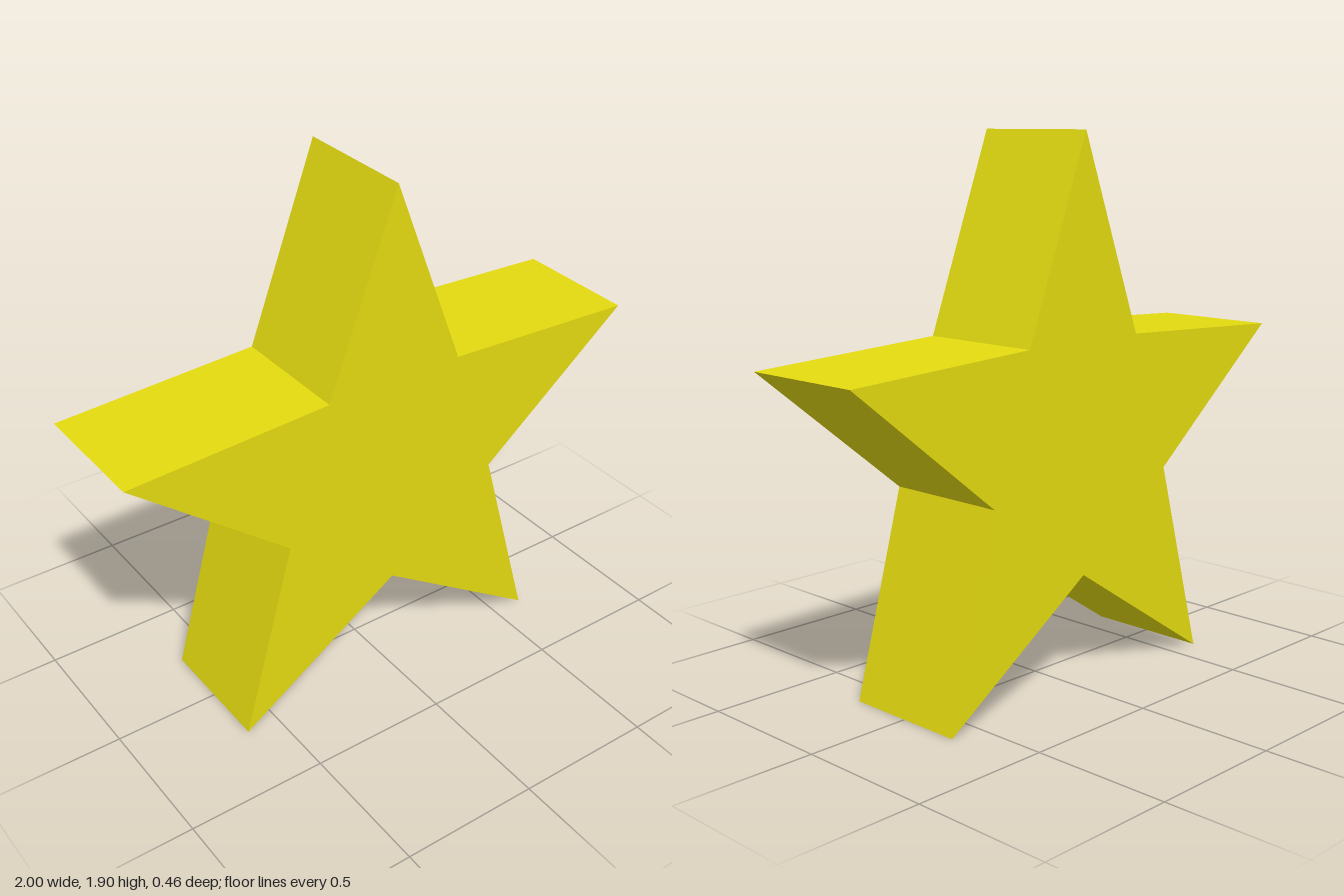
import * as THREE from 'three';

export function createModel() {
  const group = new THREE.Group();
  group.name = 'starModel';
  const yellow = new THREE.MeshStandardMaterial({ color: 0xe3da10 });
  yellow.name = 'yellow';

  // Five-pointed outline, alternating tip and notch radii
  const outer = 1 / Math.cos(Math.PI / 10);
  const inner = 0.445;
  const depth = 0.46;
  const centreY = outer * Math.cos(Math.PI / 5);
  const points = [];
  for (let i = 0; i < 10; i++) {
    const angle = Math.PI / 2 + (i * Math.PI) / 5;
    const radius = i % 2 === 0 ? outer : inner;
    points.push(new THREE.Vector2(radius * Math.cos(angle), centreY + radius * Math.sin(angle)));
  }

  // Solid star with flat sides
  const geometry = new THREE.ExtrudeGeometry(new THREE.Shape(points), { depth, bevelEnabled: false });
  geometry.translate(0, 0, -depth / 2);
  const star = new THREE.Mesh(geometry, yellow);
  star.name = 'star';
  group.add(star);
  return group;
}
